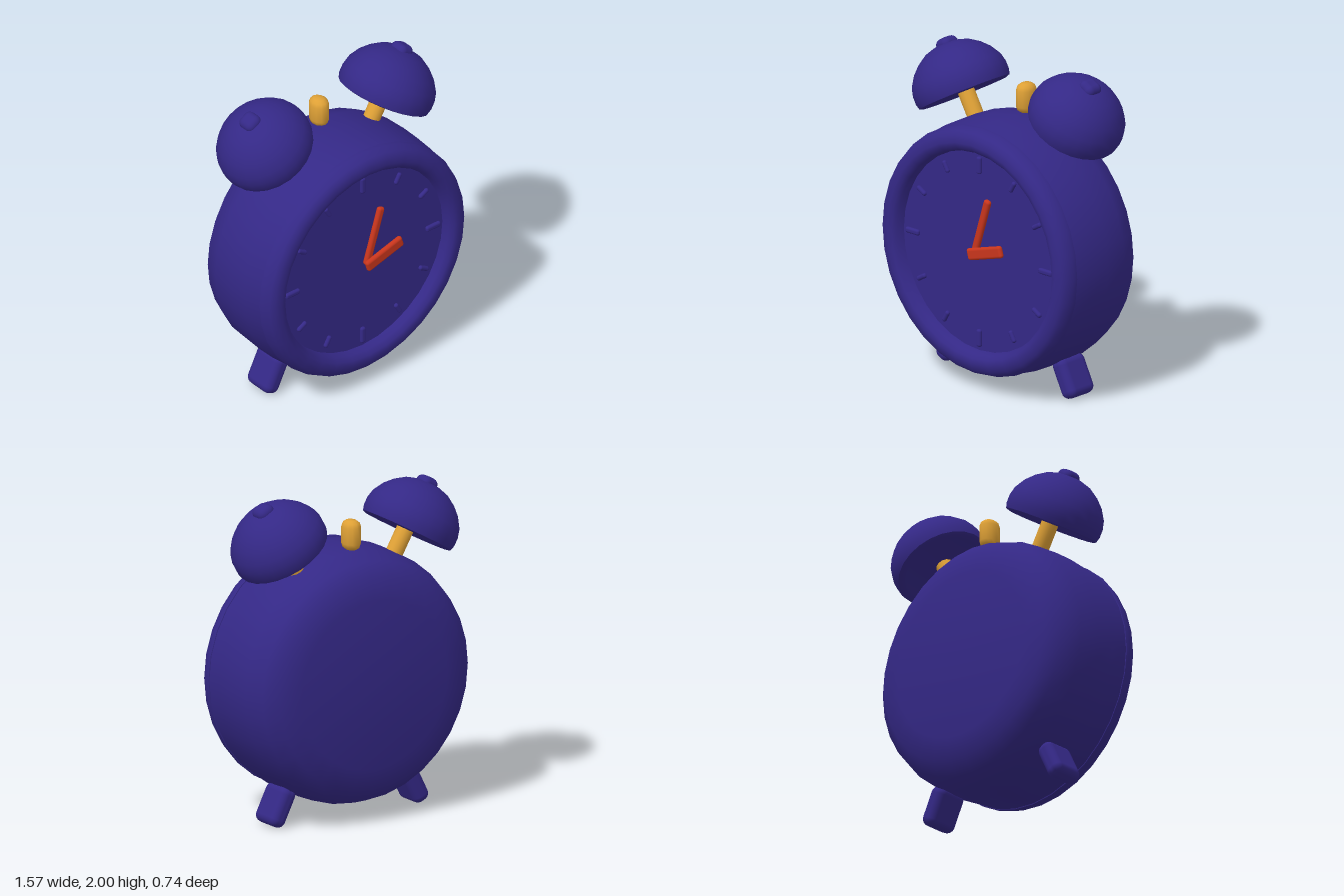
import * as THREE from 'three';
import { toCreasedNormals } from 'three/addons/utils/BufferGeometryUtils.js';
import { RoundedBoxGeometry } from 'three/addons/geometries/RoundedBoxGeometry.js';

function makeMaterial(name, color) {
  const m = new THREE.MeshStandardMaterial({ color });
  m.name = name;
  return m;
}

// Turned part from [radius, height] pairs, listed so the surface faces outwards
function turned(points, sides, crease = 0.75) {
  const profile = points.map(([r, h]) => new THREE.Vector2(r, h));
  return toCreasedNormals(new THREE.LatheGeometry(profile, sides), crease);
}

export function createModel() {
  const blue = makeMaterial('indigo enamel', 0x342886);
  const gold = makeMaterial('brass', 0xdfa136);
  const red = makeMaterial('red hands', 0xc8351c);
  const clock = new THREE.Group();
  clock.name = 'alarmClock';

  function add(parent, name, geometry, material, x = 0, y = 0, z = 0) {
    const mesh = new THREE.Mesh(geometry, material);
    mesh.name = name;
    mesh.position.set(x, y, z);
    parent.add(mesh);
    return mesh;
  }

  // Round case, with its turning axis laid along z
  const dial = new THREE.Group();
  dial.name = 'dial';
  dial.position.y = 0.867;
  clock.add(dial);

  const body = turned([
    [0, -0.372], [0.52, -0.372], [0.655, -0.34], [0.735, -0.27], [0.776, -0.15],
    [0.784, 0], [0.782, 0.12], [0.766, 0.25], [0.7, 0.25],
  ], 32);
  add(dial, 'body', body.rotateX(Math.PI / 2), blue);

  const bezel = turned([
    [0.74, 0.245], [0.77, 0.252], [0.77, 0.28], [0.752, 0.326], [0.728, 0.347],
    [0.685, 0.358], [0.655, 0.351], [0.632, 0.325], [0.62, 0.275],
  ], 32, 0.9);
  add(dial, 'bezel', bezel.rotateX(Math.PI / 2), blue);
  add(dial, 'face', new THREE.CircleGeometry(0.63, 32), blue, 0, 0, 0.28);

  // Hour marks, longer at the quarters
  for (let i = 0; i < 12; i++) {
    const quarter = i % 3 === 0;
    const a = i * Math.PI / 6;
    const r = 0.543;
    const mark = add(dial, 'hourMark',
      new RoundedBoxGeometry(quarter ? 0.036 : 0.03, quarter ? 0.11 : 0.078, 0.03, 2, 0.014),
      blue, r * Math.sin(a), r * Math.cos(a), 0.285);
    mark.rotation.z = -a;
  }

  // Hands: the hour hand passes in front of the minute hand
  function hand(name, width, length, angle, z, x, y) {
    const g = new RoundedBoxGeometry(width, length, 0.036, 3, 0.017);
    g.translate(0, length / 2, 0);
    add(dial, name, g, red, x, y, z).rotation.z = -angle;
  }
  hand('minuteHand', 0.048, 0.385, 0.3, 0.325, -0.004, -0.01);
  hand('hourHand', 0.074, 0.285, 1.29, 0.352, -0.026, -0.006);

  // Hammer between the bells, rounded at both ends
  const hammer = turned([
    [0, -0.092], [0.03, -0.089], [0.048, -0.075], [0.056, -0.05],
    [0.056, 0.05], [0.048, 0.075], [0.03, 0.089], [0, 0.092],
  ], 12, 1.1);
  hammer.scale(1, 1, 1.22);
  add(clock, 'hammer', hammer, gold, 0, 1.736, -0.12);

  // Domed bell with a flat underside and softened rim
  const bellGeometry = turned([
    [0, 0.008], [0.24, 0], [0.272, -0.009], [0.29, -0.002], [0.299, 0.03],
    [0.299, 0.08], [0.286, 0.133], [0.247, 0.196], [0.2, 0.243], [0.137, 0.285],
    [0.07, 0.305], [0, 0.31],
  ], 24);
  bellGeometry.scale(1, 1, 0.985);
  const knobGeometry = new RoundedBoxGeometry(0.115, 0.1, 0.122, 3, 0.04);
  const stemGeometry = toCreasedNormals(new THREE.CylinderGeometry(0.053, 0.053, 0.28, 12), 0.8);
  const footGeometry = new RoundedBoxGeometry(0.112, 0.25, 0.214, 3, 0.046);

  // Bells, stems and feet on both sides
  for (const side of [1, -1]) {
    const label = side > 0 ? 'left' : 'right';
    const bell = new THREE.Group();
    bell.name = label + 'Bell';
    bell.position.set(side * 0.444, 1.682, -0.055);
    bell.rotation.z = -side * 0.525;
    clock.add(bell);
    add(bell, label + 'BellDome', bellGeometry, blue);
    add(bell, label + 'BellKnob', knobGeometry, blue, -side * 0.012, 0.292, 0);
    add(bell, label + 'BellStem', stemGeometry, gold, -side * 0.016, -0.11, 0);

    const foot = add(clock, label + 'Foot', footGeometry, blue, side * 0.476, 0.122, -0.023);
    foot.rotation.z = side * 0.46;
  }
  return clock;
}
